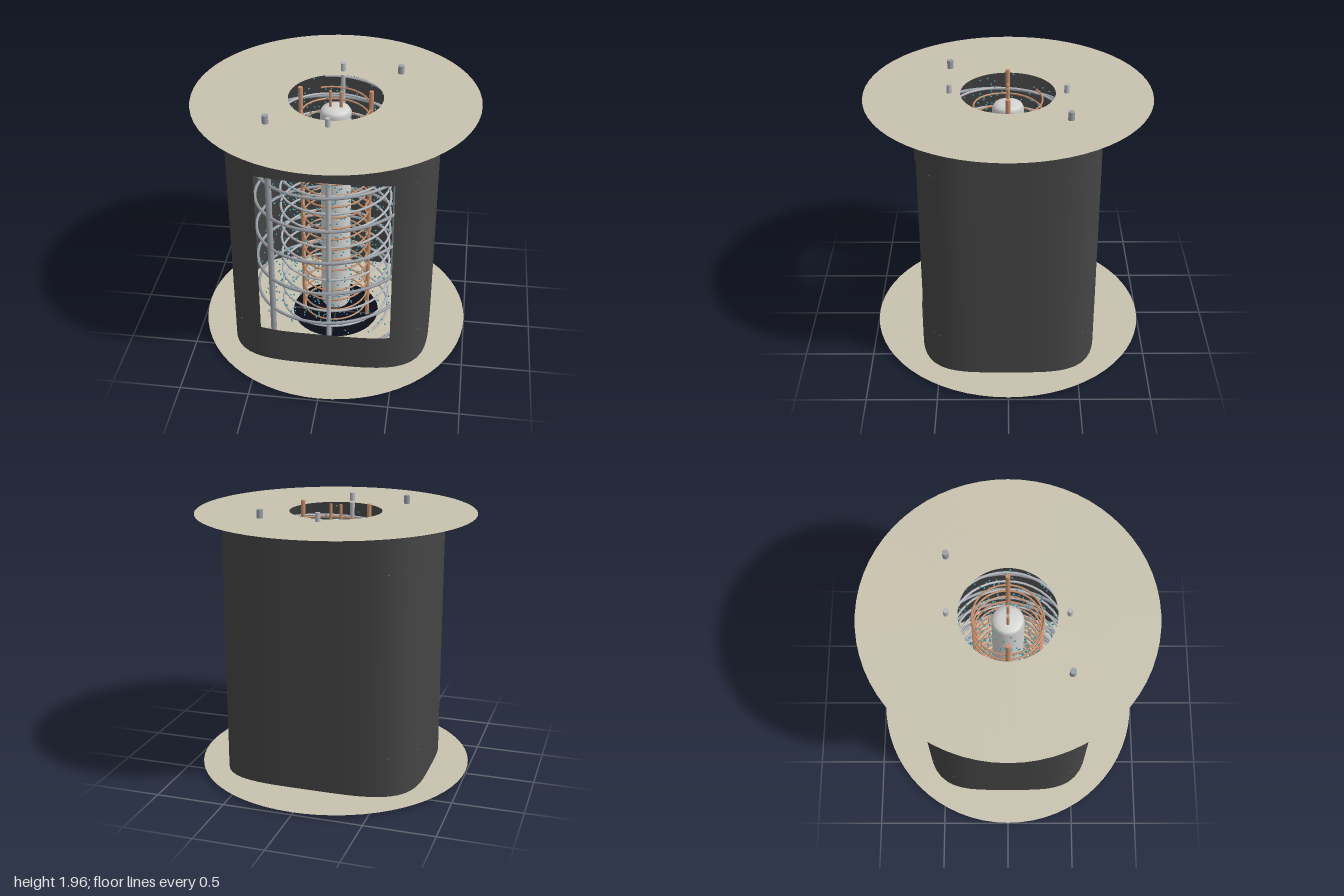
import * as THREE from 'three';
import { mergeGeometries } from 'three/addons/utils/BufferGeometryUtils.js';

const BOTTOM = 0.02, TOP = 1.9;

function material(name, color, side = THREE.FrontSide) {
  const m = new THREE.MeshStandardMaterial({ color, side });
  m.name = name;
  return m;
}

// Strip of the squarish oval shell between two angles and two heights
function shellPanel(a0, a1, y0, y1) {
  const A = 0.735, B = 0.645;
  const g = new THREE.PlaneGeometry(1, 1, 80, 1);
  const p = g.attributes.position, n = g.attributes.normal;
  const v = new THREE.Vector3();
  for (let i = 0; i < p.count; i++) {
    const a = a0 + (p.getX(i) + 0.5) * (a1 - a0);
    const s = Math.sin(a), c = Math.cos(a);
    const r = Math.pow((s / A) ** 4 + (c / B) ** 4, -0.25);
    p.setXYZ(i, r * s, y0 + (p.getY(i) + 0.5) * (y1 - y0), r * c);
    v.set(s ** 3 / A ** 4, 0, c ** 3 / B ** 4).normalize();
    n.setXYZ(i, v.x, v.y, v.z);
  }
  return g;
}

// Wire winding upwards, crossing the front at height yFront
function coil(radius, pitch, wire, yFront, y0, y1, perTurn) {
  class Helix extends THREE.Curve {
    getPoint(t, target = new THREE.Vector3()) {
      const y = y0 + t * (y1 - y0);
      const a = (2 * Math.PI * (y - yFront)) / pitch;
      return target.set(radius * Math.sin(a), y, radius * Math.cos(a));
    }
  }
  const segments = Math.round(((y1 - y0) / pitch) * perTurn);
  return new THREE.TubeGeometry(new Helix(), segments, wire, 6);
}

export function createModel() {
  const group = new THREE.Group();
  const darkMetal = material('dark plate', 0x444444, THREE.DoubleSide);
  const mica = material('tan disc', 0xc8c2ae, THREE.DoubleSide);
  const steel = material('grey steel', 0x9a9ea6);
  const silver = material('light silver', 0xb4b8be);
  const copper = material('copper', 0xc68f6c);
  const pale = material('pale cathode', 0xd2d2d0);
  const teal = material('teal particles', 0x3f96a3);

  const add = (name, geometry, mat, x = 0, y = 0, z = 0) => {
    const mesh = new THREE.Mesh(geometry, mat);
    mesh.name = name;
    mesh.position.set(x, y, z);
    group.add(mesh);
    return mesh;
  };

  // Outer shell with a window at the front
  const w = Math.atan2(0.47, 0.616), full = 2 * Math.PI;
  add('outerShell', mergeGeometries([
    shellPanel(0, full, BOTTOM, 0.305),
    shellPanel(w, full - w, 0.305, 1.61),
    shellPanel(0, full, 1.61, TOP),
  ]), darkMetal);

  // End discs with a central hole
  for (const [name, y] of [['bottomDisc', BOTTOM], ['topDisc', TOP]]) {
    add(name, new THREE.RingGeometry(0.33, 1, 64).rotateX(-Math.PI / 2), mica, 0, y, 0);
  }

  // Support posts in opposite pairs
  const post = (name, x, z, r, mat) => {
    for (const s of [1, -1]) {
      add(name, new THREE.CylinderGeometry(r, r, 1.96, 16), mat, s * x, 0.98, s * z);
    }
  };
  post('outerPost', 0.415, -0.415, 0.022, steel);
  post('middlePost', 0, 0.405, 0.018, silver);
  post('innerPost', 0.245, 0, 0.016, copper);

  // Wound wires, from outside to inside
  add('outerCoil', coil(0.59, 0.27, 0.012, 0.37, 0.06, 1.86, 48), steel);
  add('middleCoil', coil(0.405, 0.145, 0.009, 0.33, 0.06, 1.86, 40), silver);
  add('innerCoil', coil(0.24, 0.094, 0.007, 0.3, 0.06, 1.86, 36), copper);

  // Central cylinder with shallow rounded ends
  const profile = [[0, 0.09], [0.06, 0.095], [0.095, 0.105], [0.11, 0.13],
    [0.11, 1.79], [0.095, 1.815], [0.06, 1.825], [0, 1.83]];
  add('cathode', new THREE.LatheGeometry(
    profile.map(([x, y]) => new THREE.Vector2(x, y)), 32), pale);

  // Two heater pins on top of the cylinder
  for (const s of [1, -1]) {
    add('heaterPin', new THREE.CylinderGeometry(0.011, 0.011, 0.13, 12), copper, s * 0.037, 1.88, 0);
  }

  // Cloud of small particles, denser towards the middle
  let seed = 7;
  const random = () => {
    seed = (seed * 16807) % 2147483647;
    return seed / 2147483647;
  };
  const dots = [];
  for (let i = 0; i < 1100; i++) {
    const a = random() * full, r = 0.12 + 0.5 * random(), y = 0.06 + 1.78 * random();
    dots.push(new THREE.IcosahedronGeometry(0.0075, 0)
      .translate(r * Math.sin(a), y, r * Math.cos(a)));
  }
  add('particles', mergeGeometries(dots), teal);

  return group;
}
